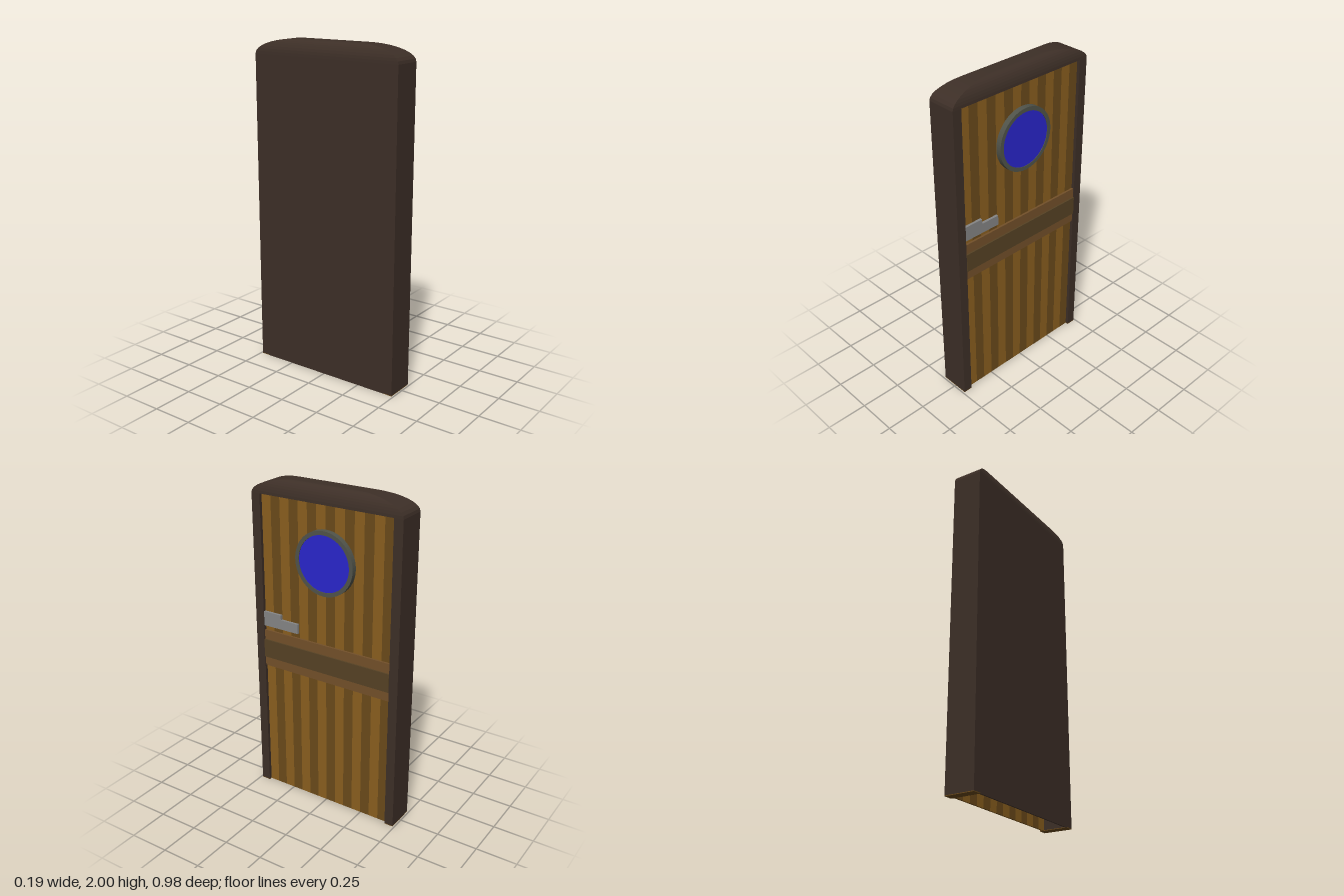
import * as THREE from 'three';

const FRAME = 0x3d2f27, HALF_X = 0.09, MID_X = -0.007, HALF_Z = 0.489;
const SPRING = 1.905, OPEN_Z = 0.433, PANEL_X = 0.064;

function mat(color, extra = {}) {
  const m = new THREE.MeshStandardMaterial({ color, flatShading: true });
  return Object.assign(m, extra);
}

function add(group, name, geometry, material) {
  const mesh = new THREE.Mesh(geometry, material);
  mesh.name = name;
  group.add(mesh);
  return mesh;
}

// Box given by its limits on each axis
function box(group, name, [x0, x1], [y0, y1], [z0, z1], material) {
  const mesh = add(group, name, new THREE.BoxGeometry(x1 - x0, y1 - y0, z1 - z0), material);
  mesh.position.set((x0 + x1) / 2, (y0 + y1) / 2, (z0 + z1) / 2);
  return mesh;
}

// Rounded cap: rectangles that shrink along a quarter ellipse as they rise
function capGeometry() {
  const rows = 9, pos = [], idx = [];
  for (let i = 0; i <= rows; i++) {
    const a = (i / rows) * Math.PI / 2, inset = 1 - Math.cos(a);
    const hx = HALF_X - 0.058 * inset, hz = HALF_Z - 0.29 * inset;
    const y = SPRING + (2 - SPRING) * Math.sin(a);
    for (const [sx, sz] of [[1, 1], [1, -1], [-1, -1], [-1, 1]]) {
      pos.push(MID_X + sx * hx, y, sz * hz);
    }
  }
  for (let i = 0; i < rows; i++) {
    for (let k = 0; k < 4; k++) {
      const a = i * 4 + k, b = i * 4 + (k + 1) % 4;
      idx.push(a, b, b + 4, a, b + 4, a + 4);
    }
  }
  const t = rows * 4;
  idx.push(t, t + 1, t + 2, t, t + 2, t + 3); // flat top
  idx.push(0, 2, 1, 0, 3, 2); // underside
  const g = new THREE.BufferGeometry();
  g.setAttribute('position', new THREE.Float32BufferAttribute(pos, 3));
  g.setIndex(idx);
  g.computeVertexNormals();
  return g;
}

export function createModel() {
  const root = new THREE.Group();
  root.name = 'door';
  const frameMat = mat(FRAME);
  const backX = MID_X - HALF_X, frontX = MID_X + HALF_X;

  // Frame: jambs, thin back and rounded cap, open at the bottom
  const frame = new THREE.Group();
  frame.name = 'frame';
  root.add(frame);
  const footMat = mat(0x6b4a1a);
  for (const [side, s] of [['left', 1], ['right', -1]]) {
    const z = [s * OPEN_Z, s * HALF_Z].sort((a, b) => a - b);
    box(frame, side + 'Jamb', [backX, frontX], [0.004, SPRING], z, frameMat);
    box(frame, side + 'JambFoot', [backX, frontX], [0, 0.004], z, footMat);
  }
  box(frame, 'backWall', [backX, backX + 0.008], [0, SPRING], [-OPEN_Z, OPEN_Z], frameMat);
  add(frame, 'roundedCap', capGeometry(), frameMat);

  // Panel of alternating planks
  const planks = new THREE.Group();
  planks.name = 'planks';
  root.add(planks);
  const plankMats = [mat(0x8a5f1f), mat(0x6b4a1a)];
  const count = 14, w = (2 * OPEN_Z) / count;
  for (let i = 0; i < count; i++) {
    const z1 = OPEN_Z - i * w;
    box(planks, 'plank' + (i + 1), [PANEL_X - 0.01, PANEL_X], [0, SPRING], [z1 - w, z1], plankMats[i % 2]);
  }

  // Cross rail: two strips and a raised middle board
  const rail = new THREE.Group();
  rail.name = 'crossRail';
  root.add(rail);
  const stripMat = mat(0x735029), z = [-OPEN_Z, OPEN_Z];
  box(rail, 'lowerStrip', [PANEL_X, 0.077], [0.835, 0.895], z, stripMat);
  box(rail, 'upperStrip', [PANEL_X, 0.077], [1.01, 1.07], z, stripMat);
  box(rail, 'middleBoard', [PANEL_X, 0.086], [0.895, 1.01], z, mat(0x564224));

  // Stepped handle plate
  const profile = new THREE.Shape([[-0.433, 1.1], [-0.19, 1.1], [-0.19, 1.16],
    [-0.31, 1.16], [-0.31, 1.19], [-0.433, 1.19]].map(([x, y]) => new THREE.Vector2(x, y)));
  const handle = add(root, 'handle',
    new THREE.ExtrudeGeometry(profile, { depth: 0.016, bevelEnabled: false }), mat(0x858585));
  handle.rotation.y = Math.PI / 2;
  handle.position.x = PANEL_X;

  // Round window: rim and glass
  const porthole = new THREE.Group();
  porthole.name = 'roundWindow';
  porthole.position.set(PANEL_X, 1.575, -0.006);
  porthole.rotation.y = Math.PI / 2;
  root.add(porthole);
  const ring = new THREE.Shape().absarc(0, 0, 0.19, 0, Math.PI * 2);
  ring.holes.push(new THREE.Path().absarc(0, 0, 0.166, 0, Math.PI * 2, true));
  add(porthole, 'rim', new THREE.ExtrudeGeometry(ring,
    { depth: 0.033, bevelEnabled: false, curveSegments: 40 }), mat(0x50534a, { flatShading: false }));
  const glass = add(porthole, 'glass', new THREE.CylinderGeometry(0.166, 0.166, 0.03, 40),
    mat(0x2a26cc, { flatShading: false }));
  glass.rotation.x = Math.PI / 2;
  glass.position.z = 0.015;

  return root;
}
